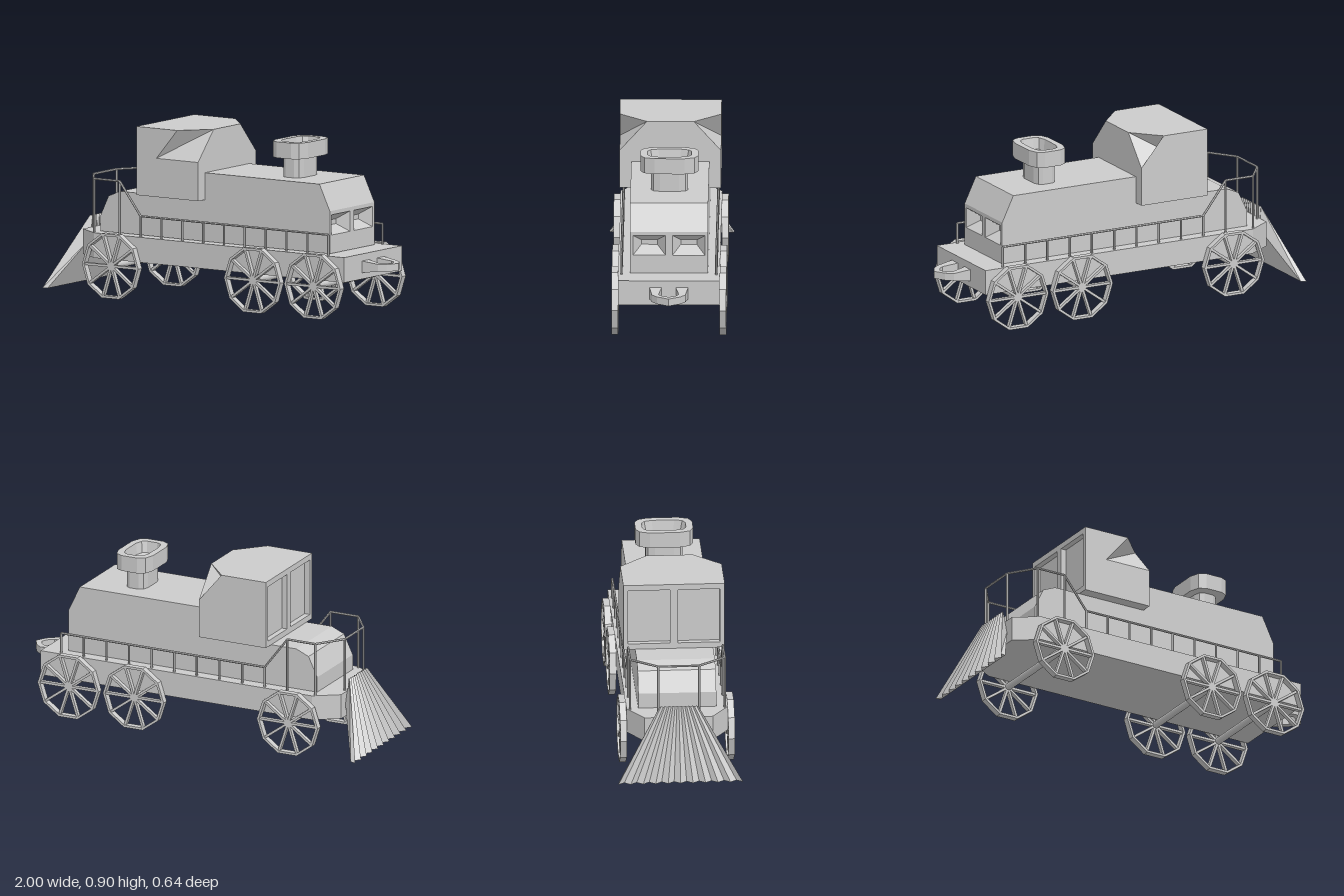
import * as THREE from 'three';
import { mergeGeometries } from 'three/addons/utils/BufferGeometryUtils.js';

const grey = new THREE.MeshStandardMaterial({ color: 0xcccccc, flatShading: true });
const greyThin = new THREE.MeshStandardMaterial({ color: 0xcccccc, flatShading: true, side: THREE.DoubleSide });

function part(parent, name, geometry, material = grey) {
  const mesh = new THREE.Mesh(geometry, material);
  mesh.name = name;
  parent.add(mesh);
  return mesh;
}

// Flat-faced solid from polygons of [x, y, z] corners; turned outward by its signed volume
function solid(polygons) {
  const tris = [];
  for (const p of polygons)
    for (let i = 1; i < p.length - 1; i++) tris.push([p[0], p[i], p[i + 1]]);
  const v = (a) => new THREE.Vector3(...a);
  let volume = 0;
  for (const [a, b, c] of tris) volume += v(a).dot(v(b).cross(v(c)));
  if (volume < 0) tris.forEach((t) => t.reverse());
  const g = new THREE.BufferGeometry();
  g.setAttribute('position', new THREE.Float32BufferAttribute(tris.flat(2), 3));
  g.computeVertexNormals();
  return g;
}

// Walls between successive rings, with optional end caps
function loft(rings, capStart = true, capEnd = true) {
  const polys = [];
  for (let r = 0; r < rings.length - 1; r++)
    rings[r].forEach((p, i) => {
      const j = (i + 1) % rings[r].length;
      polys.push([p, rings[r][j], rings[r + 1][j], rings[r + 1][i]]);
    });
  if (capStart) polys.push([...rings[0]].reverse());
  if (capEnd) polys.push(rings[rings.length - 1]);
  return solid(polys);
}

function toShape(points) {
  return new THREE.Shape(points.map(([x, y]) => new THREE.Vector2(x, y)));
}

function extrude(shape, depth) {
  return new THREE.ExtrudeGeometry(shape, { depth, bevelEnabled: false });
}

const rect = (a0, a1, b0, b1) => [[a0, b0], [a1, b0], [a1, b1], [a0, b1]];

// Panel facing along x with two mirrored window openings
function windowPanel(x0, x1, halfWidth, y0, y1, hole) {
  const s = toShape(rect(-halfWidth, halfWidth, y0, y1));
  const [a0, a1, b0, b1] = hole;
  s.holes.push(toShape(rect(a0, a1, b0, b1)), toShape(rect(-a1, -a0, b0, b1)));
  return extrude(s, x1 - x0).rotateY(Math.PI / 2).translate(x0, 0, 0);
}

// Round bar between two points
function bar(a, b, r, sides = 6) {
  const p = new THREE.Vector3(...a), q = new THREE.Vector3(...b);
  const d = q.clone().sub(p);
  const g = new THREE.CylinderGeometry(r, r, d.length(), sides);
  g.applyQuaternion(new THREE.Quaternion().setFromUnitVectors(new THREE.Vector3(0, 1, 0), d.normalize()));
  return g.translate(...p.add(q).multiplyScalar(0.5).toArray());
}

function buildCab(parent) {
  const x0 = -0.425, x1 = -0.07;
  const P1 = [-0.33, 0.745, 0.26], P2 = [x1, 0.745, 0.26], A = [-0.2, 0.9, 0.26], D = [x1, 0.9, 0.12];
  const TL = [x0, 0.9, 0.26], BL = [x0, 0.545, 0.26], BR = [x1, 0.545, 0.26];
  const m = ([x, y, z]) => [x, y, -z];
  // side wall and the two facets of the corner notch, then mirrored
  const half = [[P1, A, TL, BL, BR, P2], [A, P1, D], [P1, P2, D]];
  part(parent, 'cab', solid([
    ...half, ...half.map((f) => f.map(m).reverse()),
    [TL, A, D, m(D), m(A), m(TL)],
    [D, P2, BR, m(BR), m(P2), m(D)],
    [BR, BL, m(BL), m(BR)],
    [TL, m(TL), m(BL), BL],
  ]));
  part(parent, 'cabRearFrame', windowPanel(-0.455, x0, 0.26, 0.545, 0.9, [0.02, 0.235, 0.575, 0.87]));
}

function buildBody(parent) {
  const profile = [[-0.72, 0.33], [0.645, 0.33], [0.645, 0.685], [-0.2, 0.685], [-0.2, 0.545],
    [-0.6, 0.545], [-0.67, 0.515], [-0.72, 0.41]];
  part(parent, 'boiler', extrude(toShape(profile), 0.4).translate(0, 0, -0.2));
  part(parent, 'noseSlope', extrude(toShape([[0.645, 0.55], [0.71, 0.55], [0.645, 0.685]]), 0.4).translate(0, 0, -0.2));
  part(parent, 'nosePanel', windowPanel(0.645, 0.71, 0.2, 0.33, 0.55, [0.018, 0.184, 0.425, 0.53]));
  // tapered window recesses
  for (const s of [1, -1]) {
    const ring = (x, r) => rect(...r).map(([z, y]) => [x, y, s * z]);
    part(parent, 'windowRecess', loft([ring(0.709, [0.018, 0.184, 0.425, 0.53]),
      ring(0.65, [0.06, 0.142, 0.465, 0.49])], false, true), greyThin);
  }
}

function buildChimney(parent) {
  // twelve-cornered rounded rectangle
  const ring = (hx, hz, y) => {
    const q = [[1, 0.52], [0.82, 0.87], [0.45, 1]];
    const back = [...q].reverse().map(([a, b]) => [-a, b]);
    const half = [...q, ...back];
    return [...half, ...half.map(([a, b]) => [-a, -b])].map(([a, b]) => [0.387 + a * hx, y, b * hz]);
  };
  part(parent, 'chimneyStem', loft([ring(0.058, 0.095, 0.68), ring(0.058, 0.095, 0.8)]));
  part(parent, 'chimneyCap', loft([ring(0.058, 0.095, 0.79), ring(0.1, 0.148, 0.79), ring(0.1, 0.148, 0.873),
    ring(0.066, 0.112, 0.873), ring(0.058, 0.1, 0.815), ring(0.035, 0.052, 0.802)]));
}

function buildWheels(parent) {
  const R = 0.175, r = 0.162, n = 10;
  const ngon = (rad) => Array.from({ length: n }, (_, i) => {
    const a = (i / n) * Math.PI * 2;
    return [rad * Math.cos(a), rad * Math.sin(a)];
  });
  const rimShape = toShape(ngon(R));
  rimShape.holes.push(toShape(ngon(r)));
  const rim = extrude(rimShape, 0.034).translate(0, 0, -0.017);
  const spokes = Array.from({ length: n }, (_, i) =>
    new THREE.BoxGeometry(0.165, 0.013, 0.022).translate(0.0825, 0, 0).rotateZ((i / n) * Math.PI * 2));
  const spokeSet = mergeGeometries(spokes);
  for (const x of [-0.595, 0.29, 0.665]) {
    for (const z of [0.277, -0.277]) {
      const wheel = new THREE.Group();
      wheel.name = 'wheel';
      wheel.position.set(x, 0.168, z);
      part(wheel, 'rim', rim);
      part(wheel, 'spokes', spokeSet);
      parent.add(wheel);
    }
    part(parent, 'axle', bar([x, 0.17, -0.27], [x, 0.17, 0.27], 0.018, 16));
  }
}

function buildRailing(parent) {
  const r = 0.006, bars = [], zr = 0.243;
  for (const s of [1, -1]) {
    const z = s * zr;
    const path = [[0.73, 0.435, z], [-0.44, 0.435, z], [-0.57, 0.605, z], [-0.73, 0.605, z], [-0.83, 0.605, s * 0.105]];
    for (let i = 0; i < path.length - 1; i++) bars.push(bar(path[i], path[i + 1], r));
    for (let i = 0; i < 10; i++) bars.push(bar([-0.44 + 0.13 * i, 0.32, z], [-0.44 + 0.13 * i, 0.435, z], r));
    for (const p of path.slice(2)) bars.push(bar([p[0], 0.32, p[2]], p, r));
  }
  bars.push(bar([-0.83, 0.605, -0.105], [-0.83, 0.605, 0.105], r));
  part(parent, 'railing', mergeGeometries(bars));
}

function buildPlough(parent) {
  // fan of ridges: each cross-section is a thin wedge, alternately pushed in
  const n = 20, sections = [];
  for (let i = 0; i <= n; i++) {
    const t = (i / n) * 2 - 1, d = i % 2 ? 0.02 : 0;
    sections.push([
      [-0.995 + d - (d ? 0 : 0.005), 0.025, 0.32 * t],
      [-0.855 + d * 0.5, 0.39, 0.1 * t],
      [-0.84, 0.27, 0.12 * t],
      [-0.97, 0.027, 0.315 * t],
    ]);
  }
  part(parent, 'plough', loft(sections));
}

function buildCoupler(parent) {
  // x and z of outer and inner edge, half height
  const steps = [[0.83, 0.1, 0.83, 0.034, 0.032], [0.93, 0.086, 0.92, 0.052, 0.019],
    [0.965, 0.058, 0.945, 0.035, 0.019], [1, 0, 0.965, 0, 0.019]];
  for (const s of [1, -1])
    part(parent, 'couplerArm', loft(steps.map(([xo, zo, xi, zi, h]) => [
      [xo, 0.261 - h, s * zo], [xo, 0.261 + h, s * zo], [xi, 0.261 + h, s * zi], [xi, 0.261 - h, s * zi]])));
}

export function createModel() {
  const model = new THREE.Group();
  model.name = 'locomotive';
  // deck with chamfered rear corners
  const deck = toShape([[0.84, -0.26], [0.84, 0.26], [-0.72, 0.26], [-0.845, 0.175], [-0.845, -0.175], [-0.72, -0.26]]);
  part(model, 'deck', extrude(deck, 0.13).rotateX(Math.PI / 2).translate(0, 0.328, 0));
  buildBody(model);
  buildCab(model);
  buildChimney(model);
  buildWheels(model);
  buildRailing(model);
  buildPlough(model);
  buildCoupler(model);
  return model;
}
